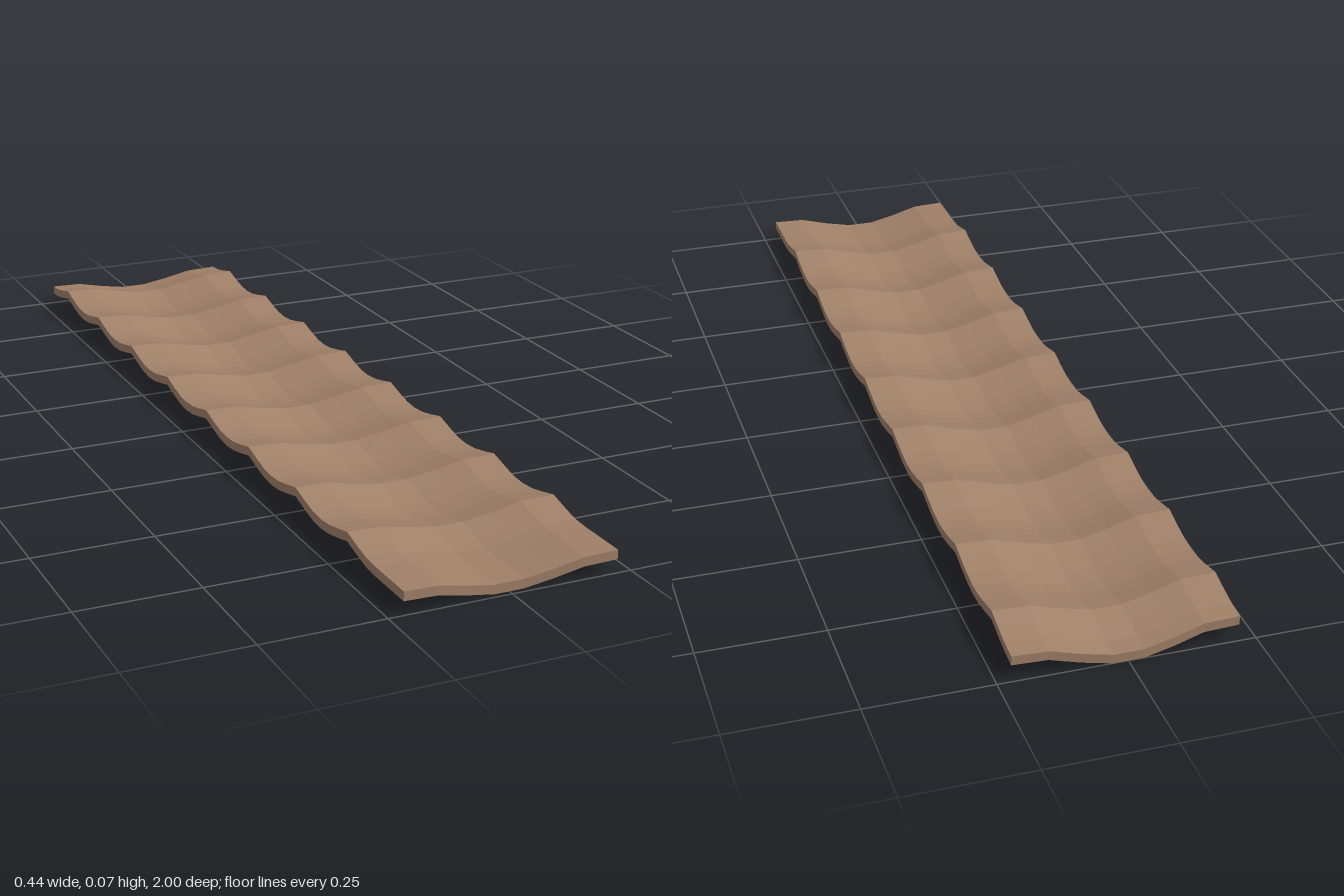
import * as THREE from 'three';

const THICKNESS = 0.019;
const PITCH = 0.2338;
const FIRST_CREST = 0.767;
const CRESTS = 8;

// Cross-section of the dish: [x, height above the middle], one half, mirrored
const half = [[0.03, 0], [0.089, 0.011], [0.15, 0.0255], [0.22, 0.0278]];
const section = [...half.map(([x, h]) => [-x, h]).reverse(), ...half];

// Lengthwise scallops: [z, height above the trough], running from front to back
function scallops() {
  const rows = [[1, 0], [0.94, 0], [0.885, 0], [0.85, 0.002]];
  const wave = [[0.052, 0.008], [0, 0.0205], [-0.04, 0.011], [-0.08, 0.003], [-0.117, 0], [-0.15, 0.002]];
  for (let k = 0; k < CRESTS; k++) {
    const crest = FIRST_CREST - k * PITCH;
    for (const [dz, h] of wave) {
      if (crest + dz > -0.98) rows.push([crest + dz, h]);
    }
  }
  rows.push([-0.989, 0]);
  return rows;
}

function slabGeometry() {
  const rows = scallops();
  const n = section.length, ring = 2 * n;
  const positions = [], index = [];
  const quad = (a, b, c, d) => index.push(a, b, c, a, c, d);

  // Closed ring per row: upper surface left to right, underside back again
  for (const [z, wave] of rows) {
    const point = ([x, h], lift) =>
      positions.push(x, h + wave + lift, z + (h / 0.0278 - 1) * 0.011);
    section.forEach((p) => point(p, THICKNESS));
    [...section].reverse().forEach((p) => point(p, 0));
  }

  // Skin between neighbouring rows
  for (let r = 0; r < rows.length - 1; r++) {
    for (let i = 0; i < ring; i++) {
      const j = (i + 1) % ring, a = r * ring, b = a + ring;
      quad(a + i, a + j, b + j, b + i);
    }
  }

  // End faces
  const last = (rows.length - 1) * ring;
  for (let i = 0; i < n - 1; i++) {
    const low = ring - 1 - i;
    quad(low, low - 1, i + 1, i);
    quad(last + i, last + i + 1, last + low - 1, last + low);
  }

  const geometry = new THREE.BufferGeometry();
  geometry.setAttribute('position', new THREE.Float32BufferAttribute(positions, 3));
  geometry.setIndex(index);
  const flat = geometry.toNonIndexed();
  flat.computeVertexNormals();
  return flat;
}

export function createModel() {
  const group = new THREE.Group();
  group.name = 'roofTileStrip';
  const clay = new THREE.MeshStandardMaterial({ color: 0xa08068, flatShading: true });
  const slab = new THREE.Mesh(slabGeometry(), clay);
  slab.name = 'scallopedTiles';
  group.add(slab);
  return group;
}
